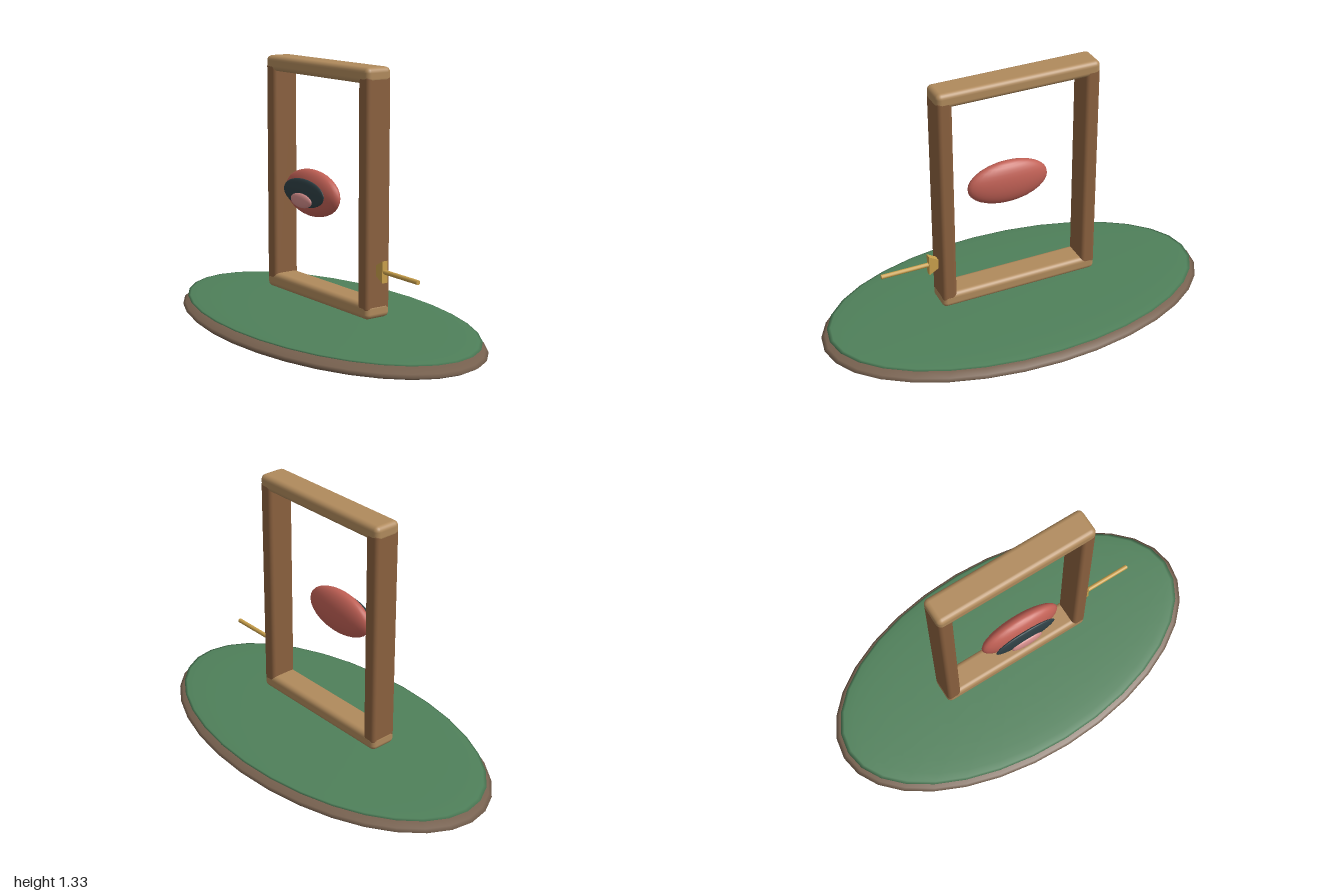
import * as THREE from 'three';
import { RoundedBoxGeometry } from 'three/addons/geometries/RoundedBoxGeometry.js';

const paint = (color) => new THREE.MeshStandardMaterial({ color });

export function createModel() {
  const model = new THREE.Group();

  const add = (name, geometry, material, x, y, z) => {
    const mesh = new THREE.Mesh(geometry, material);
    mesh.name = name;
    mesh.position.set(x, y, z);
    model.add(mesh);
    return mesh;
  };

  // Sphere stretched to the three given radii
  const ellipsoid = (name, color, [rx, ry, rz], [x, y, z], segments = 32) => {
    const geometry = new THREE.SphereGeometry(1, segments, segments / 2);
    geometry.scale(rx, ry, rz);
    return add(name, geometry, paint(color), x, y, z);
  };

  // Island: flat earth disc with a grass layer on top
  ellipsoid('earthBase', 0x77614f, [1, 0.06, 0.55], [0, 0.06, 0]);
  ellipsoid('grassTop', 0x4f805a, [0.97, 0.018, 0.525], [0, 0.105, 0]);

  // Door frame: two posts with a lintel and a sill
  const darkWood = paint(0x8a603e);
  const lightWood = paint(0xb08a5c);
  for (const side of [-1, 1]) {
    add(side > 0 ? 'leftPost' : 'rightPost',
      new RoundedBoxGeometry(0.074, 1.1, 0.139, 3, 0.02), darkWood, side * 0.372, 0.752, 0);
  }
  for (const [name, y] of [['sill', 0.208], ['lintel', 1.297]]) {
    add(name, new RoundedBoxGeometry(0.82, 0.075, 0.14, 3, 0.025), lightWood, 0, y, 0);
  }

  // Floating mouth: lips, dark opening and tongue
  ellipsoid('lips', 0xc06055, [0.21, 0.113, 0.055], [0, 0.71, 0.08]);
  ellipsoid('mouthOpening', 0x2f4045, [0.163, 0.068, 0.015], [0, 0.715, 0.132]);
  ellipsoid('tongue', 0xd08a88, [0.083, 0.035, 0.016], [0, 0.68, 0.146]);

  // Brass handle: triangular plate and a rod pointing outwards
  const brass = paint(0xc9a04c);
  const plate = new THREE.Shape([
    new THREE.Vector2(-0.06, 0),
    new THREE.Vector2(0.03, -0.052),
    new THREE.Vector2(0.03, 0.052),
  ]);
  const plateGeometry = new THREE.ExtrudeGeometry(plate, { depth: 0.03, bevelEnabled: false });
  plateGeometry.translate(0, 0, -0.015);
  add('handlePlate', plateGeometry, brass, 0.426, 0.402, 0);
  const rod = add('handleRod', new THREE.CylinderGeometry(0.011, 0.011, 0.27, 12), brass, 0.56, 0.402, 0);
  rod.rotation.z = Math.PI / 2;

  return model;
}
